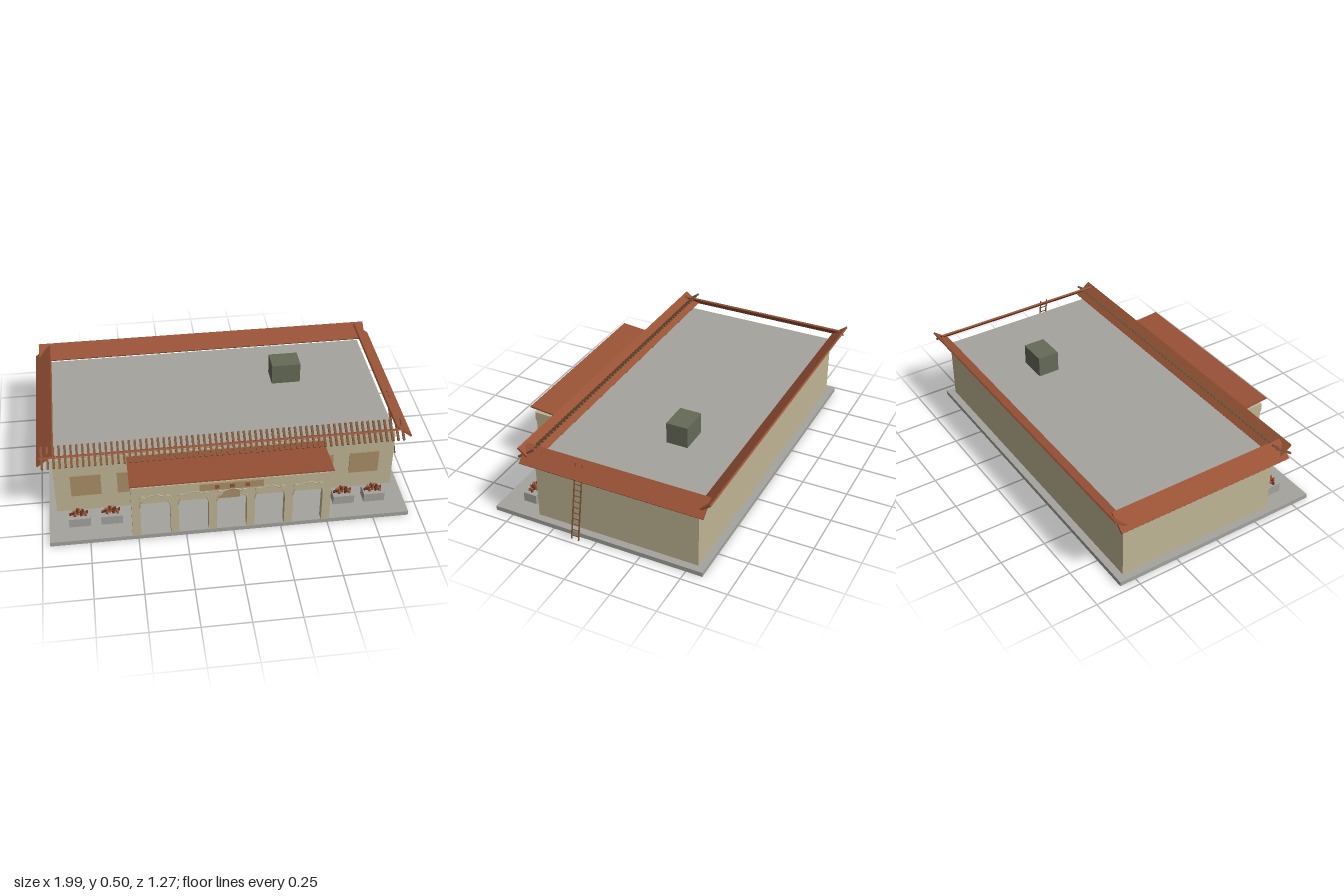
import * as THREE from 'three';

const mat = (name, color, extra = {}) => {
  const m = new THREE.MeshStandardMaterial({ color, ...extra });
  m.name = name;
  return m;
};

export function createModel() {
  const stone = mat('grey stone', 0xa5a39d);
  const plaster = mat('beige plaster', 0xbfb594);
  const tile = mat('terracotta', 0x985236);
  const wood = mat('brown wood', 0x7e5638);
  const tan = mat('tan panel', 0xa98f68);
  const metal = mat('olive grey', 0x666a58);
  const leaf = mat('dark red leaf', 0x6b3322, { flatShading: true });
  const bloom = mat('orange bloom', 0xa3573a, { flatShading: true });

  const model = new THREE.Group();
  model.name = 'arcadeBuilding';

  const add = (name, geometry, material, parent = model) => {
    const m = new THREE.Mesh(geometry, material);
    m.name = name;
    parent.add(m);
    return m;
  };
  // Box given by its lower and upper bounds on each axis
  const box = (name, material, x0, x1, y0, y1, z0, z1, parent) => {
    const m = add(name, new THREE.BoxGeometry(x1 - x0, y1 - y0, z1 - z0), material, parent);
    m.position.set((x0 + x1) / 2, (y0 + y1) / 2, (z0 + z1) / 2);
    return m;
  };
  // Board running along x, sloping in z and y between two edges
  const boardX = (name, material, x0, x1, [za, ya], [zb, yb], t, parent) => {
    const m = add(name, new THREE.BoxGeometry(x1 - x0, t, Math.hypot(zb - za, yb - ya)), material, parent);
    m.position.set((x0 + x1) / 2, (ya + yb) / 2, (za + zb) / 2);
    m.rotation.x = -Math.atan2(yb - ya, zb - za);
    return m;
  };
  // Board running along z, sloping in x and y between two edges
  const boardZ = (name, material, z0, z1, [xa, ya], [xb, yb], t, parent) => {
    const m = add(name, new THREE.BoxGeometry(Math.hypot(xb - xa, yb - ya), t, z1 - z0), material, parent);
    m.position.set((xa + xb) / 2, (ya + yb) / 2, (z0 + z1) / 2);
    m.rotation.z = Math.atan2(yb - ya, xb - xa);
    return m;
  };

  // Base, main block, flat roof, rooftop unit
  box('base', stone, -0.96, 0.94, 0, 0.025, -0.59, 0.6);
  box('walls', plaster, -0.92, 0.9, 0.025, 0.372, -0.55, 0.36);
  box('roof', stone, -0.915, 0.895, 0.372, 0.378, -0.543, 0.355);
  box('rooftopUnit', metal, 0.32, 0.48, 0.378, 0.495, -0.285, -0.165);

  // Tilted eaves on all four sides
  boardZ('leftEave', tile, -0.605, 0.405, [0.886, 0.45], [0.973, 0.38], 0.01);
  boardZ('rightEave', tile, -0.605, 0.405, [-0.906, 0.45], [-0.993, 0.38], 0.01);
  boardX('frontEave', tile, -0.975, 0.945, [0.345, 0.384], [0.428, 0.448], 0.01);
  boardX('backEave', tile, -0.975, 0.945, [-0.545, 0.384], [-0.628, 0.448], 0.01);

  // Row of rafters crossing the front eave
  const rafters = new THREE.Group();
  rafters.name = 'rafters';
  model.add(rafters);
  for (let i = 0; i < 64; i++) {
    const x = -0.965 + i * 0.03;
    boardX('rafter', wood, x - 0.006, x + 0.006, [0.34, 0.453], [0.437, 0.383], 0.01, rafters);
  }

  // Porch: arcade wall with five arches
  const porch = new THREE.Group();
  porch.name = 'porch';
  model.add(porch);
  const centres = [-0.408, -0.21, -0.011, 0.187, 0.386];
  const r = 0.078, spring = 0.216, floor = 0.025;
  const outline = new THREE.Shape();
  outline.moveTo(-0.53, floor);
  for (const c of centres) {
    outline.lineTo(c - r, floor);
    outline.lineTo(c - r, spring);
    outline.absarc(c, spring, r, Math.PI, 0, true);
    outline.lineTo(c + r, floor);
  }
  outline.lineTo(0.507, floor);
  outline.lineTo(0.507, 0.325);
  outline.lineTo(-0.53, 0.325);
  const arcade = add('arcade',
    new THREE.ExtrudeGeometry(outline, { depth: 0.043, bevelEnabled: false, curveSegments: 16 }), plaster, porch);
  arcade.position.z = 0.56;
  box('porchBeam', plaster, -0.53, 0.507, 0.302, 0.354, 0.36, 0.61, porch);
  boardX('porchRoof', tile, -0.535, 0.51, [0.358, 0.357], [0.634, 0.384], 0.008, porch);

  // Arch trims with a round scroll at each shoulder
  for (const c of centres) {
    const trim = add('archTrim', new THREE.TorusGeometry(r, 0.004, 6, 20, Math.PI), plaster, porch);
    trim.position.set(c, spring, 0.603);
    for (const s of [-1, 1]) {
      const scroll = add('scroll', new THREE.CylinderGeometry(0.016, 0.016, 0.01, 14), plaster, porch);
      scroll.rotation.x = Math.PI / 2;
      scroll.position.set(c + s * 0.064, 0.275, 0.605);
    }
  }

  // Plaque above the middle arch
  box('plaque', tan, -0.18, 0.15, 0.306, 0.348, 0.608, 0.617, porch);
  for (const x of [-0.09, -0.012, 0.066]) {
    box('plaqueInset', tile, x - 0.012, x + 0.012, 0.316, 0.338, 0.616, 0.62, porch);
  }

  // Door and window panels
  box('door', tan, -0.09, 0.066, 0.025, 0.24, 0.359, 0.367);
  for (const x of [-0.755, -0.51, 0.49, 0.74]) {
    box('window', tan, x - 0.08, x + 0.08, 0.128, 0.262, 0.359, 0.367);
  }

  // Planters filled with small pointed blooms
  for (const x of [-0.8, -0.632, 0.61, 0.777]) {
    const planter = new THREE.Group();
    planter.name = 'planter';
    planter.position.set(x, 0, 0.458);
    model.add(planter);
    box('planterBox', stone, -0.057, 0.057, 0.025, 0.077, -0.037, 0.037, planter);
    for (let i = 0; i < 18; i++) {
      const a = i * 2.4, d = Math.sqrt(i / 18);
      const f = add('bloom', new THREE.OctahedronGeometry(0.013), i % 2 ? leaf : bloom, planter);
      f.scale.set(0.8, 1.3, 0.8);
      f.position.set(Math.cos(a) * d * 0.045, 0.104 - d * 0.02, Math.sin(a) * d * 0.022);
      f.rotation.set(Math.sin(a) * d * 0.6, a, -Math.cos(a) * d * 0.6);
    }
  }

  // Ladder leaning on the side wall, built along its own y axis
  const ladder = new THREE.Group();
  ladder.name = 'ladder';
  const lx = 0.995 - 0.918, ly = 0.442 - 0.026, length = Math.hypot(lx, ly);
  ladder.position.set(0.995, 0.026, 0.09);
  ladder.rotation.z = Math.atan2(lx, ly);
  model.add(ladder);
  for (const z of [-0.02, 0.02]) {
    box('ladderRail', wood, -0.003, 0.003, 0, length, z - 0.003, z + 0.003, ladder);
  }
  for (let i = 0; i < 13; i++) {
    const y = 0.02 + i * 0.032;
    box('ladderRung', wood, -0.002, 0.002, y - 0.002, y + 0.002, -0.02, 0.02, ladder);
  }
  return model;
}
